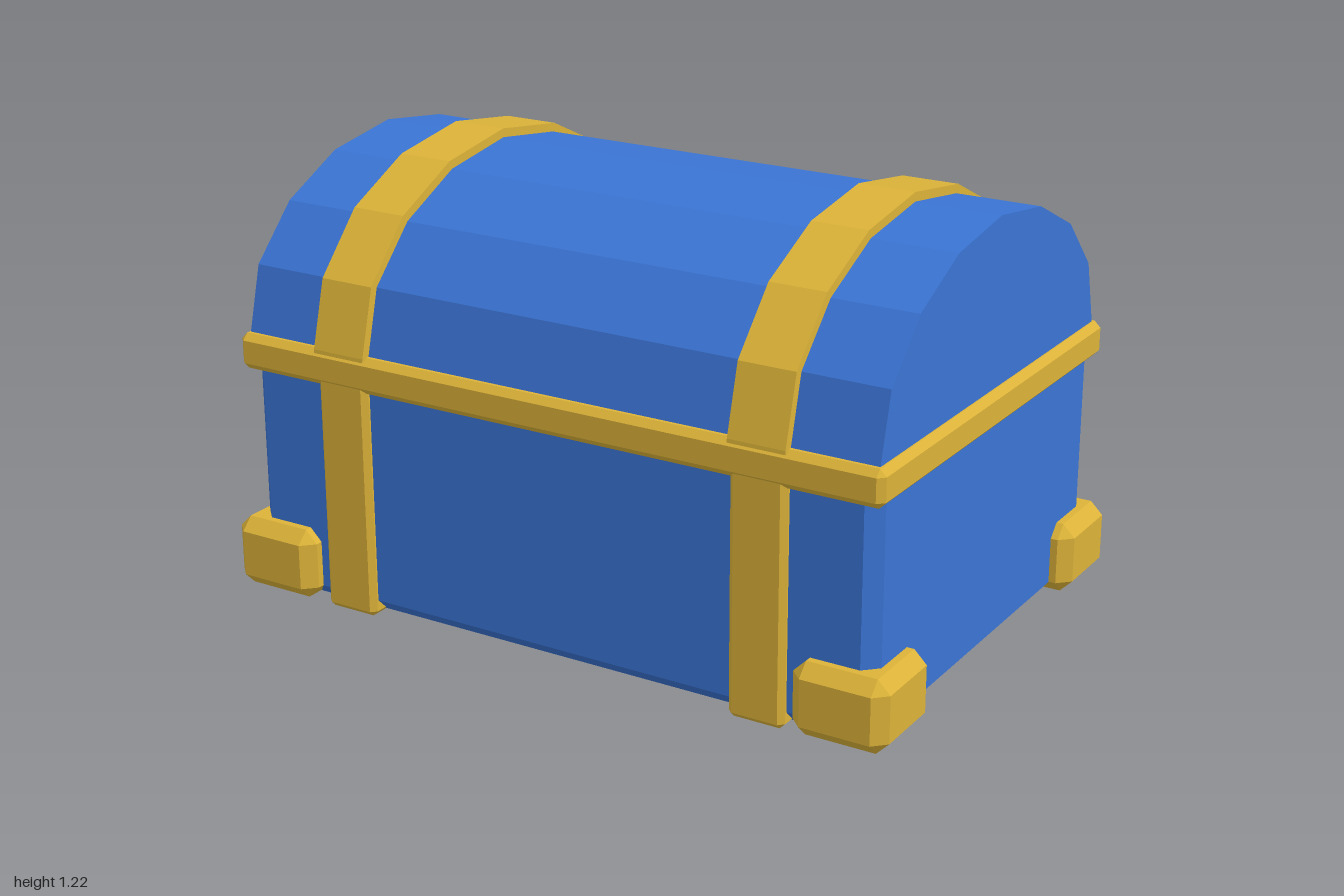
import * as THREE from 'three';
import { ConvexGeometry } from 'three/addons/geometries/ConvexGeometry.js';

const CENTRE_Z = 0.02; // the lock on the back shifts the chest slightly forward

// Box between two corners with every edge cut at 45 degrees
function chamferBox([x0, y0, z0], [x1, y1, z1], b) {
  const centre = [(x0 + x1) / 2, (y0 + y1) / 2, (z0 + z1) / 2];
  const half = [(x1 - x0) / 2, (y1 - y0) / 2, (z1 - z0) / 2];
  const points = [];
  for (const sx of [-1, 1]) for (const sy of [-1, 1]) for (const sz of [-1, 1]) {
    const s = [sx, sy, sz];
    for (let full = 0; full < 3; full++) {
      points.push(new THREE.Vector3(...s.map((v, i) => centre[i] + v * (half[i] - (i === full ? 0 : b)))));
    }
  }
  return new ConvexGeometry(points);
}

// Arched slab: half profile of [z, y] points from the hinge line to the peak
function arch(profile, x0, x1) {
  const mirrored = profile.slice(0, -1).reverse().map(([z, y]) => [-z, y]);
  const shape = new THREE.Shape([...profile, ...mirrored].map(([z, y]) => new THREE.Vector2(z, y)));
  const geometry = new THREE.ExtrudeGeometry(shape, { depth: x1 - x0, bevelEnabled: false });
  return geometry.rotateY(-Math.PI / 2).translate(x1, 0, CENTRE_Z);
}

export function createModel() {
  const group = new THREE.Group();
  const blue = new THREE.MeshStandardMaterial({ color: 0x3a74d4 });
  const gold = new THREE.MeshStandardMaterial({ color: 0xdbb238 });
  const silver = new THREE.MeshStandardMaterial({ color: 0xc8c8cc });
  blue.name = 'blue';
  gold.name = 'gold';
  silver.name = 'silver';

  const add = (name, geometry, material) => {
    const mesh = new THREE.Mesh(geometry, material);
    mesh.name = name;
    group.add(mesh);
    return mesh;
  };

  // Body, lid and rim
  add('body', chamferBox([-0.945, 0.008, -0.61], [0.945, 0.7, 0.65], 0.038), blue);
  add('lid', arch([[0.632, 0.72], [0.628, 0.74], [0.582, 0.917], [0.442, 1.061], [0.24, 1.157], [0, 1.192]],
    -0.945, 0.945), blue);
  add('rim', chamferBox([-0.967, 0.64, -0.637], [0.967, 0.74, 0.676], 0.018), gold);

  for (const side of [-1, 1]) {
    const label = side > 0 ? 'left' : 'right';
    const x = side * 0.628;

    // Straps over the lid and around the body
    add(label + 'LidStrap', arch([[0.655, 0.73], [0.654, 0.74], [0.605, 0.923], [0.46, 1.08], [0.25, 1.18], [0, 1.217]],
      x - 0.08, x + 0.08), gold);
    add(label + 'BodyStrap', chamferBox([x - 0.08, 0, -0.63], [x + 0.08, 0.7, 0.67], 0.015), gold);

    // Rivets on the back of the straps
    for (const y of [0.205, 0.488]) {
      const rivet = new THREE.CylinderGeometry(0.042, 0.042, 0.055, 6).toNonIndexed();
      rivet.rotateY(Math.PI / 6).rotateX(Math.PI / 2).computeVertexNormals();
      add(label + 'Rivet', rivet, gold).position.set(x, y, -0.638);
    }

    // Corner feet
    for (const end of [-1, 1]) {
      const z = CENTRE_Z + end * 0.553;
      const cx = side * 0.868;
      add(label + (end > 0 ? 'FrontFoot' : 'BackFoot'),
        chamferBox([cx - 0.132, 0.012, z - 0.132], [cx + 0.132, 0.21, z + 0.132], 0.035), gold);
    }

    // Faceted gems, one vertex pointing up
    const gem = new THREE.IcosahedronGeometry(1, 0).rotateX(-Math.atan2(1 + Math.sqrt(5), 2));
    gem.scale(0.103, 0.143, 0.063);
    add(label + 'Gem', gem, silver).position.set(side * 0.31, 0.408, -0.618);
  }

  // Lock: hasp on the lid, plate on the body, and keyhole block
  add('hasp', chamferBox([-0.095, 0.71, -0.66], [0.095, 0.922, -0.6], 0.022), gold);
  add('lockPlate', chamferBox([-0.128, 0.4, -0.685], [0.128, 0.67, -0.605], 0.025), gold);
  add('keyhole', new THREE.BoxGeometry(0.06, 0.11, 0.04), silver).position.set(0, 0.512, -0.684);

  return group;
}
